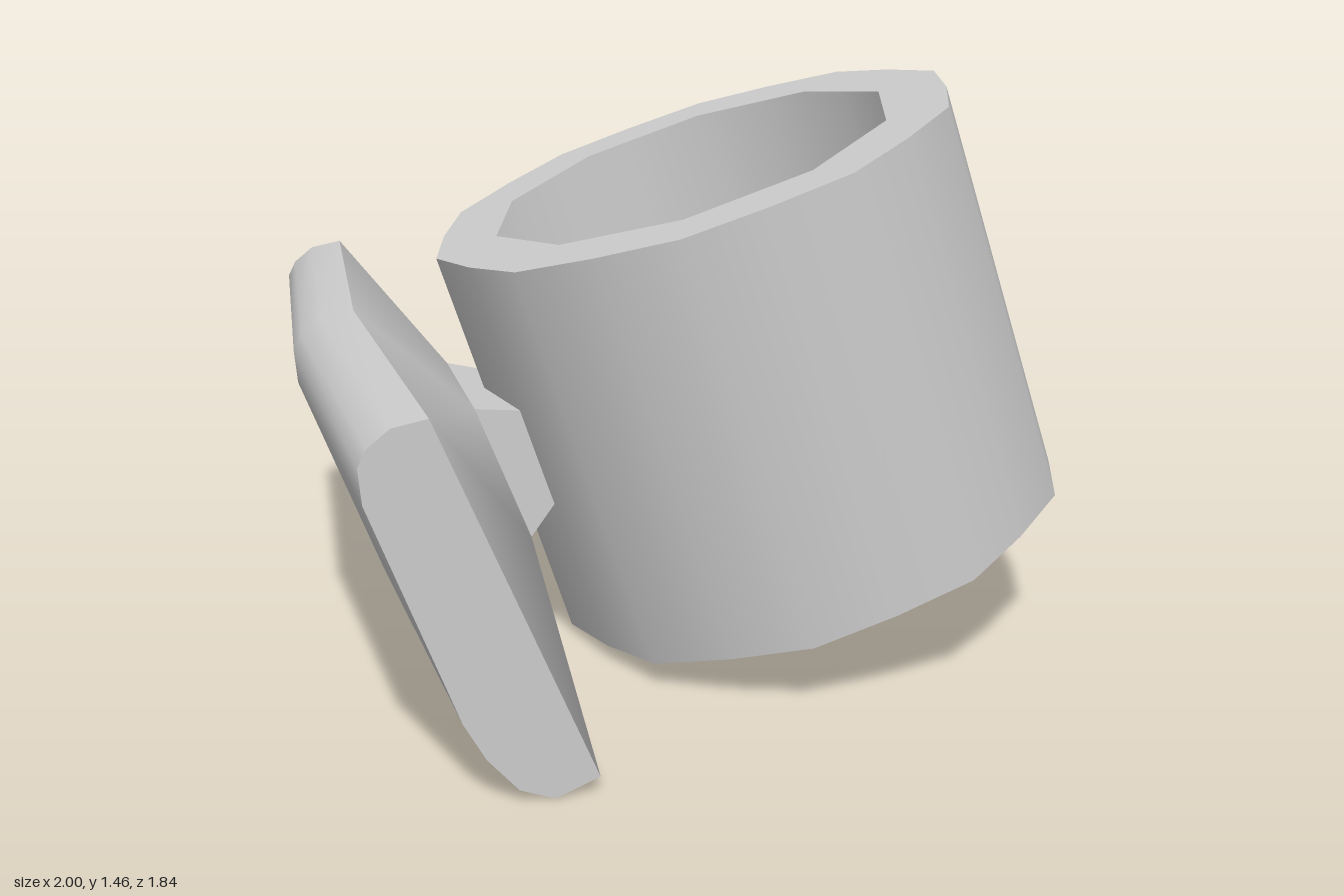
import * as THREE from 'three';
import { toCreasedNormals } from 'three/addons/utils/BufferGeometryUtils.js';

const material = new THREE.MeshStandardMaterial({ color: 0xcccccc, side: THREE.DoubleSide });

function addMesh(parent, geometry, name) {
  const mesh = new THREE.Mesh(geometry, material);
  mesh.name = name;
  parent.add(mesh);
  return mesh;
}

// Turns convex polygons (lists of corner points) into a creased geometry.
function fromPolygons(polygons) {
  const positions = [];
  for (const p of polygons) {
    for (let i = 1; i < p.length - 1; i++) positions.push(...p[0], ...p[i], ...p[i + 1]);
  }
  const geometry = new THREE.BufferGeometry();
  geometry.setAttribute('position', new THREE.Float32BufferAttribute(positions, 3));
  return toCreasedNormals(geometry, 0.6);
}

// Hollow sleeve: outer wall plus a flat ring at each end.
function createSleeve() {
  const height = 1.06, sides = 20;
  const sleeve = new THREE.Group();
  sleeve.name = 'sleeve';

  // Every other corner sits slightly further in
  const wall = new THREE.CylinderGeometry(0.69, 0.69, height, sides, 1, true);
  const pos = wall.attributes.position;
  for (let i = 0; i < pos.count; i++) {
    if ((i % (sides + 1)) % 2 === 0) {
      pos.setX(i, pos.getX(i) * 0.971);
      pos.setZ(i, pos.getZ(i) * 0.971);
    }
  }
  addMesh(sleeve, wall, 'sleeveWall');

  const ringPoints = (count, radius) => Array.from({ length: count }, (_, i) => {
    const a = (i / count) * Math.PI * 2;
    return new THREE.Vector2(Math.cos(a) * radius(i), Math.sin(a) * radius(i));
  });
  const shape = new THREE.Shape(ringPoints(sides, (i) => (i % 2 ? 0.67 : 0.69)));
  shape.holes.push(new THREE.Path(ringPoints(10, () => 0.53)));
  for (const side of [1, -1]) {
    const ring = new THREE.ShapeGeometry(shape);
    ring.rotateX(-side * Math.PI / 2);
    ring.translate(0, side * height / 2, 0);
    addMesh(sleeve, ring, side > 0 ? 'topRing' : 'bottomRing');
  }

  sleeve.position.set(0.18, 0.74, 0);
  sleeve.rotation.z = THREE.MathUtils.degToRad(18.1);
  return sleeve;
}

// Rounded plate, bent slightly along its middle, with a tapered front and a stub.
function createPlate() {
  const plate = new THREE.Group();
  plate.name = 'plate';

  // Cross-section from the front top edge, round the back, to the front bottom edge
  const profile = [
    [-0.79, 0.885], [-0.87, 0.87], [-0.92, 0.83], [-0.94, 0.79], [-0.933, 0.71],
    [-0.74, 0.2], [-0.69, 0.11], [-0.62, 0.03], [-0.54, 0], [-0.44, 0.04],
  ];
  const sections = [[-0.92, -0.008, 0.025], [0, -0.06, 0.025], [0.92, 0, 0]]
    .map(([z, dx, dy]) => profile.map(([x, y]) => [x + dx, y + dy, z]));
  const [right, mid, left] = sections;
  const last = profile.length - 1;
  const polygons = [left, [...right].reverse()];
  for (let s = 0; s < 2; s++) {
    for (let i = 0; i < last; i++) {
      polygons.push([sections[s][i], sections[s][i + 1], sections[s + 1][i + 1], sections[s + 1][i]]);
    }
  }

  // Four corners of a rectangle across z: top left, bottom left, bottom right, top right
  const rectangle = (top, bottom, half) => [
    [...top, half], [...bottom, half], [...bottom, -half], [...top, -half],
  ];
  const neck = rectangle([-0.59, 0.7], [-0.457, 0.36], 0.23);
  const tip = rectangle([-0.4, 0.665], [-0.34, 0.485], 0.175);
  const [topL, bottomL, bottomR, topR] = neck;

  // Sloping front faces from the plate edge to the neck
  polygons.push(
    [left[0], left[last], bottomL, topL],
    [right[last], right[0], topR, bottomR],
    [right[0], mid[0], topR], [mid[0], topL, topR], [mid[0], left[0], topL],
    [left[last], mid[last], bottomL], [mid[last], bottomR, bottomL], [mid[last], right[last], bottomR],
  );
  addMesh(plate, fromPolygons(polygons), 'plateBody');

  // Stub that runs into the sleeve
  const stub = [tip];
  for (let i = 0; i < 4; i++) {
    const j = (i + 1) % 4;
    stub.push([neck[i], neck[j], tip[j], tip[i]]);
  }
  addMesh(plate, fromPolygons(stub), 'plateStub');
  return plate;
}

export function createModel() {
  const model = new THREE.Group();
  model.name = 'sleeveWithPlate';
  model.add(createSleeve(), createPlate());
  return model;
}
